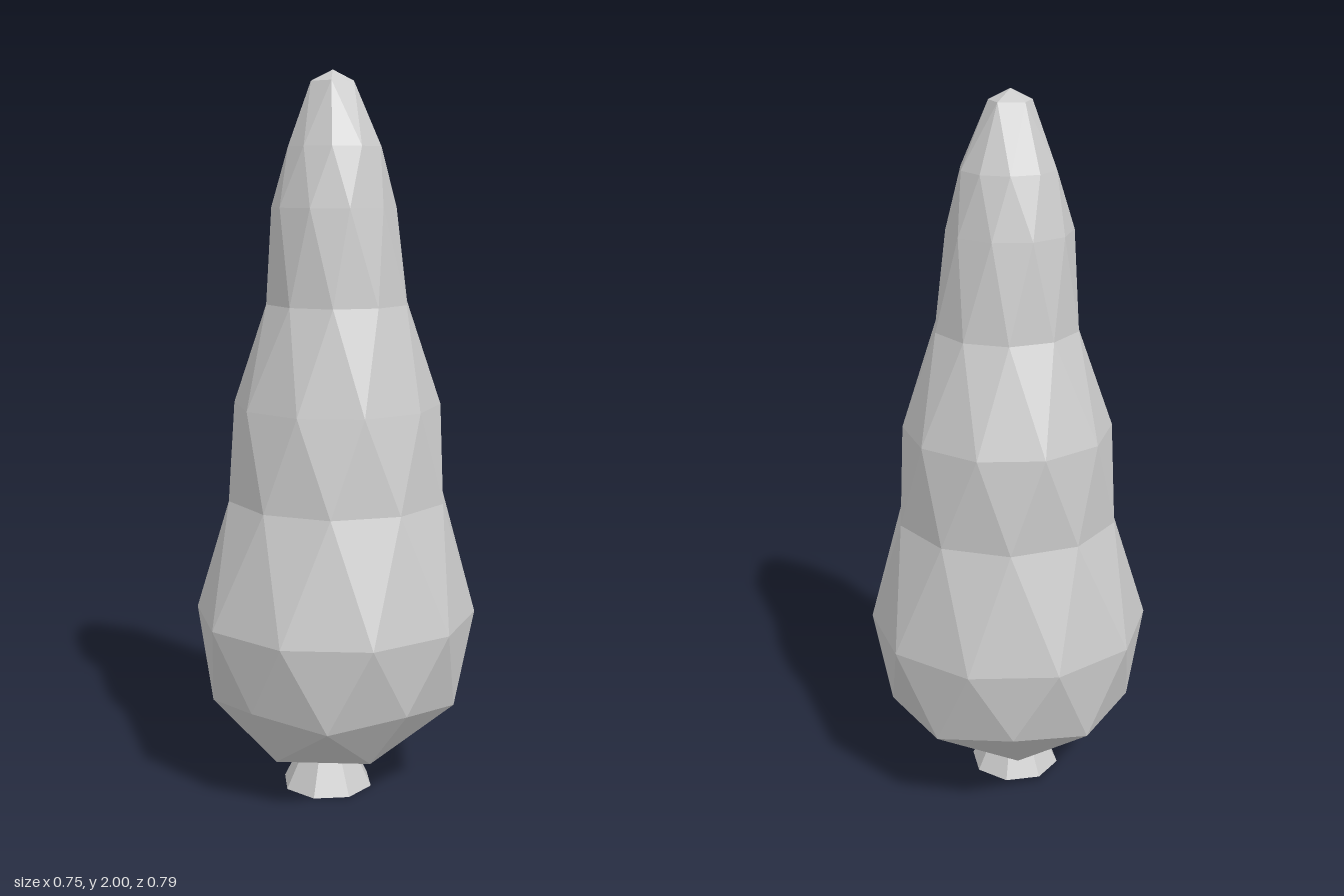
import * as THREE from 'three';

const STEP = Math.PI / 5;

// Foliage rings from bottom to top. n = corners, r = radius, cx/cz = centre,
// phase in units of 36 degrees, dy = lift of every second corner.
const RINGS = [
  { y: 0.08, n: 1, r: 0, cx: -0.035 },
  { y: 0.13, n: 5, r: 0.22, cx: -0.035, phase: 1 },
  { y: 0.27, n: 10, r: 0.355, dy: 0.03 },
  { y: 0.51, n: 10, r: 0.395, phase: 0.5 },
  { y: 0.84, n: 10, r: 0.31, cx: 0.01 },
  { y: 1.1, n: 10, r: 0.288, cx: 0.02, cz: -0.01, phase: 0.5 },
  { y: 1.38, n: 10, r: 0.2, cx: 0.01 },
  { y: 1.64, n: 10, r: 0.17, cz: -0.005, phase: 0.5 },
  { y: 1.8, n: 10, r: 0.13 },
  { y: 1.97, n: 5, r: 0.06, cx: -0.01 },
  { y: 2.0, n: 1, r: 0, cx: -0.01 },
];

// Corner i of a ring
function corner({ y, n, r, cx = 0, cz = 0, phase = 0, dy = 0 }, i) {
  const k = i % n;
  const a = phase * STEP + (k * 2 * Math.PI) / n;
  return [cx + r * Math.cos(a), y + (k % 2) * dy, cz + r * Math.sin(a)];
}

// Angle at the middle of the ring edge that starts at corner i
function edgeAngle({ n, phase = 0 }, i) {
  return n > 1 && i < n ? phase * STEP + ((i + 0.5) * 2 * Math.PI) / n : Infinity;
}

// Joins two rings with triangles, taking their edges in order of angle
function joinRings(low, high, out) {
  let i = 0, j = 0;
  for (;;) {
    const a = edgeAngle(low, i), b = edgeAngle(high, j);
    if (a === Infinity && b === Infinity) return;
    out.push(...corner(low, i), ...corner(high, j));
    if (a < b) out.push(...corner(low, ++i));
    else out.push(...corner(high, ++j));
  }
}

export function createModel() {
  const tree = new THREE.Group();
  tree.name = 'tree';

  // Foliage: faceted teardrop crown
  const positions = [];
  for (let k = 0; k + 1 < RINGS.length; k++) joinRings(RINGS[k], RINGS[k + 1], positions);
  const crown = new THREE.BufferGeometry();
  crown.setAttribute('position', new THREE.Float32BufferAttribute(positions, 3));
  crown.computeVertexNormals();
  const foliage = new THREE.Mesh(crown,
    new THREE.MeshStandardMaterial({ color: 0xcccccc, flatShading: true }));
  foliage.name = 'foliage';
  tree.add(foliage);

  // Trunk: short open flared stub
  const stub = new THREE.CylinderGeometry(0.08, 0.13, 0.1, 8, 1, true);
  stub.rotateY(Math.PI / 8);
  const trunk = new THREE.Mesh(stub,
    new THREE.MeshStandardMaterial({ color: 0xcccccc, flatShading: true, side: THREE.DoubleSide }));
  trunk.name = 'trunk';
  trunk.position.set(-0.035, 0.05, 0);
  tree.add(trunk);

  return tree;
}
